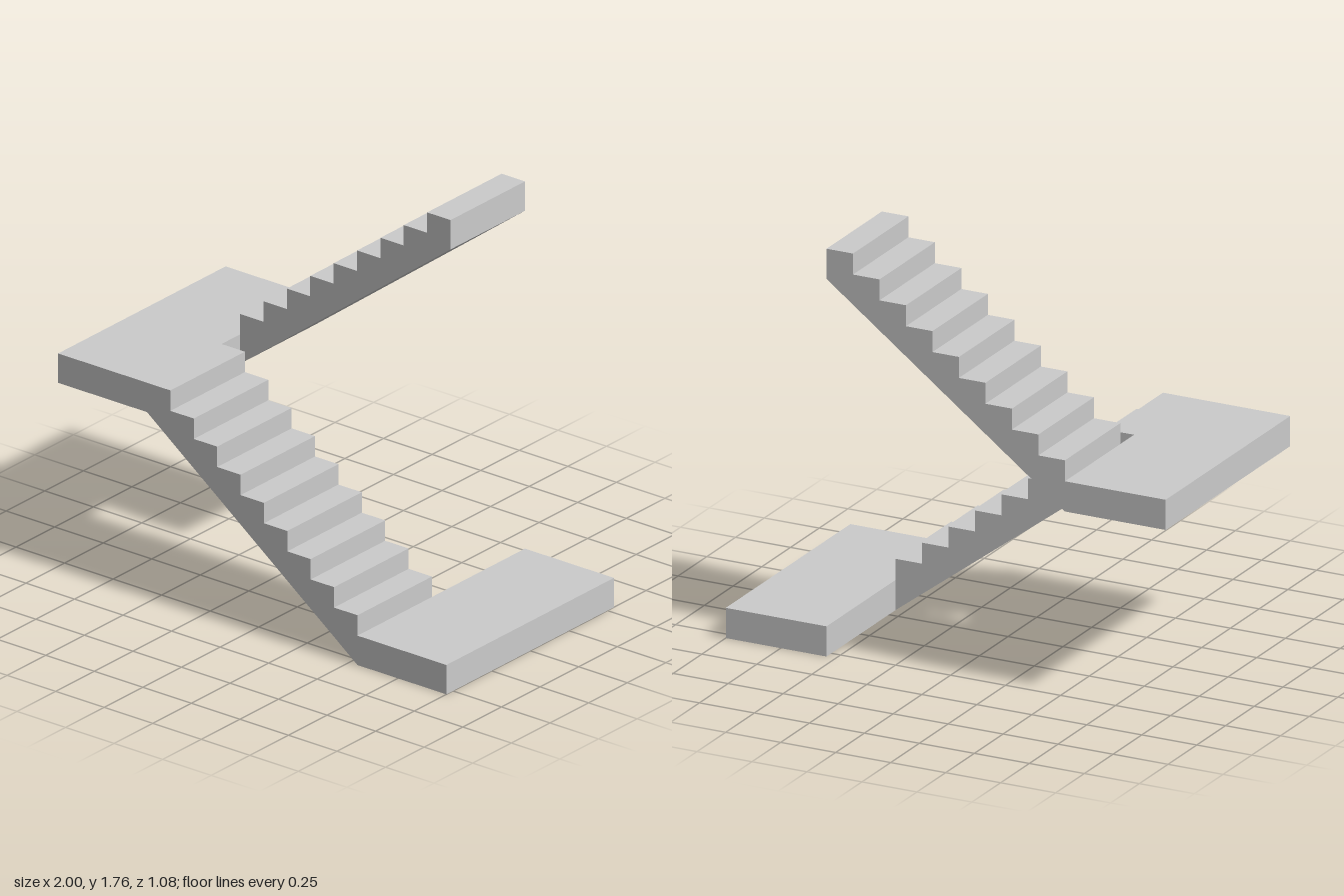
import * as THREE from 'three';

const STEPS = 9;
const HALF_RUN = 0.542;           // flights span -HALF_RUN..HALF_RUN in x
const TREAD = (2 * HALF_RUN) / STEPS;
const RISE = 0.0903;
const SLAB = 0.13;                // landing thickness
const HALF_DEPTH = 0.542;
const GAP = 0.06;                 // half the well between the flights
const FLOOR = STEPS * RISE;       // height gained by one flight

const material = new THREE.MeshStandardMaterial({ color: 0xcccccc, flatShading: true });

// Sawtooth flight with a sloped underside; dir is the climbing direction along x
function flight(name, dir, baseY, zBack) {
  const shape = new THREE.Shape();
  const startX = -dir * HALF_RUN;
  shape.moveTo(startX, baseY);
  for (let i = 0; i < STEPS; i++) {
    const y = baseY + SLAB + (i + 1) * RISE;
    shape.lineTo(startX + dir * i * TREAD, y);
    shape.lineTo(startX + dir * (i + 1) * TREAD, y);
  }
  shape.lineTo(-startX, baseY + FLOOR);
  shape.closePath();
  const geometry = new THREE.ExtrudeGeometry(shape, { depth: HALF_DEPTH - GAP, bevelEnabled: false });
  const mesh = new THREE.Mesh(geometry, material);
  mesh.name = name;
  mesh.position.z = zBack;
  return mesh;
}

// Flat slab at one end of the stair
function landing(name, side, baseY) {
  const width = 1 - HALF_RUN;
  const mesh = new THREE.Mesh(new THREE.BoxGeometry(width, SLAB, 2 * HALF_DEPTH), material);
  mesh.name = name;
  mesh.position.set(side * (HALF_RUN + width / 2), baseY + SLAB / 2, 0);
  return mesh;
}

export function createModel() {
  const group = new THREE.Group();
  group.name = 'staircase';
  group.add(
    landing('lowerLanding', 1, 0),
    flight('lowerFlight', -1, 0, GAP),
    landing('middleLanding', -1, FLOOR),
    flight('upperFlight', 1, FLOOR, -HALF_DEPTH)
  );
  return group;
}
